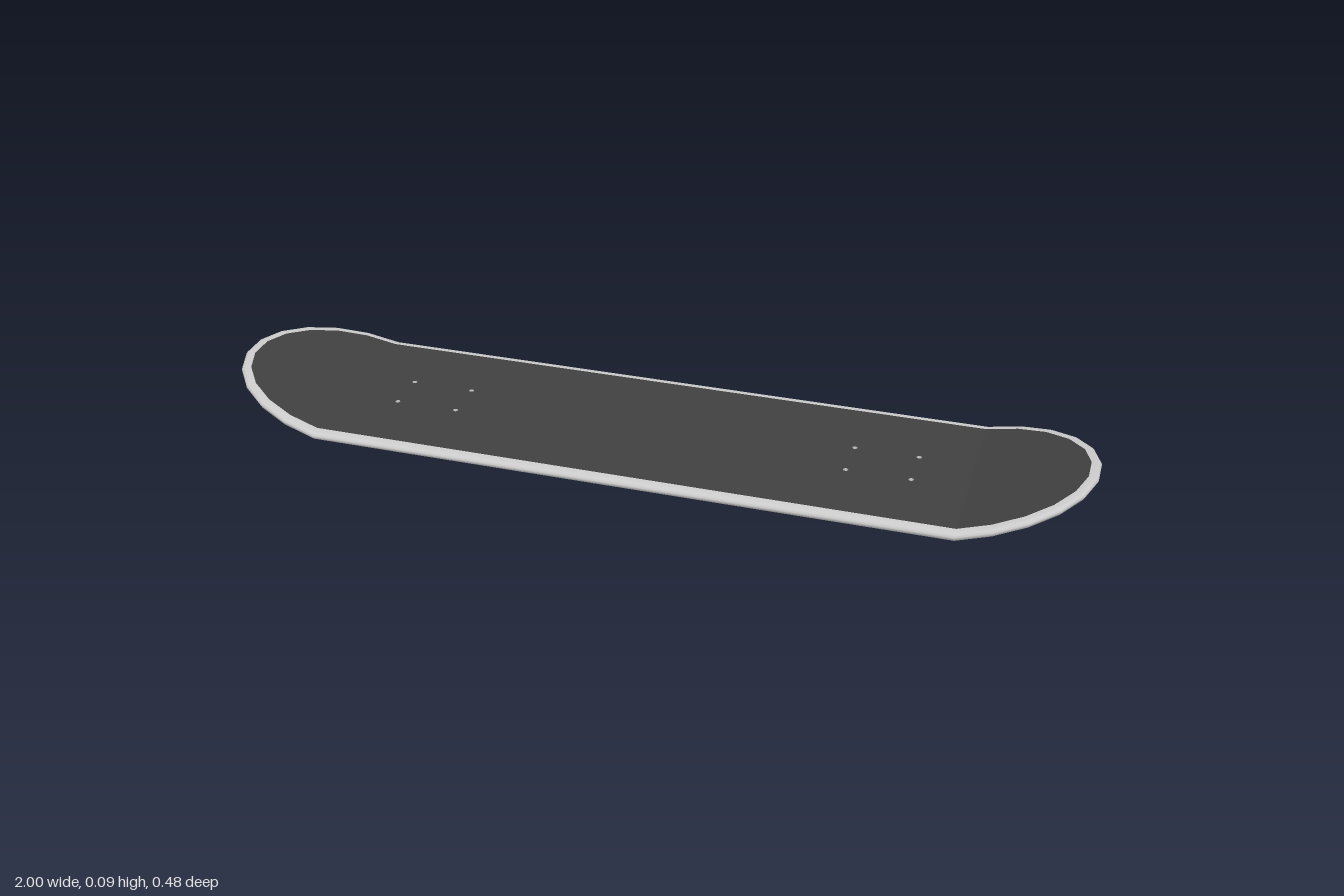
import * as THREE from 'three';

const STRAIGHT = 0.73, END = 0.271, HALF_WIDTH = 0.242, THICK = 0.021;
const SEGMENTS = 11; // facets round each end
const HOLE_RADIUS = 0.006, HOLE_SIDES = 10;

const material = (color, side = THREE.FrontSide) =>
  new THREE.MeshStandardMaterial({ color, side, roughness: 0.9 });

// The nose and tail rise in a straight slope beyond the flat middle
const lift = (x) => Math.max(0, Math.abs(x) - STRAIGHT) * 0.254;

// Points of one rounded end, inset from the edge; sign picks the end
function endPoints(sign, inset) {
  const points = [];
  for (let i = 0; i <= SEGMENTS; i++) {
    const a = -Math.PI / 2 + (Math.PI * i) / SEGMENTS;
    points.push(new THREE.Vector2(
      sign * (STRAIGHT + (END - inset) * Math.cos(a)),
      sign * (HALF_WIDTH - inset) * Math.sin(a)));
  }
  return points;
}

// Truck bolt positions: two sets of four
const bolts = [];
for (const x of [-0.605, -0.46, 0.46, 0.605])
  for (const z of [-0.05, 0.05]) bolts.push([x, z]);

// A flat middle with bolt holes and two sloping ends
function surface(name, inset, y, up, mat) {
  const group = new THREE.Group();
  group.name = name;
  const left = endPoints(1, inset), right = endPoints(-1, inset);
  const middle = new THREE.Shape([left[0], left[SEGMENTS], right[0], right[SEGMENTS]]);
  for (const [x, z] of bolts) {
    const ring = [];
    for (let i = 0; i < HOLE_SIDES; i++) {
      const a = (i / HOLE_SIDES) * Math.PI * 2;
      ring.push(new THREE.Vector2(x + HOLE_RADIUS * Math.cos(a), z + HOLE_RADIUS * Math.sin(a)));
    }
    middle.holes.push(new THREE.Path(ring));
  }
  const shapes = { Middle: middle, LeftEnd: new THREE.Shape(left), RightEnd: new THREE.Shape(right) };
  for (const [part, shape] of Object.entries(shapes)) {
    const geometry = new THREE.ShapeGeometry(shape);
    geometry.rotateX(up ? -Math.PI / 2 : Math.PI / 2);
    const pos = geometry.attributes.position;
    for (let i = 0; i < pos.count; i++) pos.setY(i, y + lift(pos.getX(i)));
    geometry.computeVertexNormals();
    const mesh = new THREE.Mesh(geometry, mat);
    mesh.name = name + part;
    group.add(mesh);
  }
  return group;
}

// Rounded rim: [inset, height] section swept round the outline
function rim(section) {
  const positions = [], index = [];
  const count = 2 * (SEGMENTS + 1), rows = section.length;
  for (const [inset, y] of section)
    for (const p of [...endPoints(1, inset), ...endPoints(-1, inset)])
      positions.push(p.x, y + lift(p.x), -p.y);
  for (let r = 0; r < rows - 1; r++)
    for (let i = 0; i < count; i++) {
      const j = (i + 1) % count;
      const a = r * count + i, b = r * count + j, c = a + count, d = b + count;
      index.push(a, b, d, a, d, c);
    }
  const geometry = new THREE.BufferGeometry();
  geometry.setAttribute('position', new THREE.Float32BufferAttribute(positions, 3));
  geometry.setIndex(index);
  geometry.computeVertexNormals();
  const mesh = new THREE.Mesh(geometry, material(0xcccccc));
  mesh.name = 'rim';
  return mesh;
}

export function createModel() {
  const model = new THREE.Group();
  model.name = 'skateboardDeck';

  // Grip on top, painted underside, bare rim between them
  model.add(surface('gripTape', 0.022, THICK, true, material(0x404040)));
  model.add(surface('underside', 0.008, 0, false, material(0x006400)));
  model.add(rim([
    [0.008, 0], [0.003, 0.003], [0, 0.008], [0, 0.012],
    [0.003, 0.017], [0.009, 0.02], [0.022, THICK],
  ]));

  // Walls of the bolt holes
  const wall = new THREE.CylinderGeometry(HOLE_RADIUS, HOLE_RADIUS, THICK, HOLE_SIDES, 1, true);
  wall.rotateY(Math.PI / 2);
  const wallMaterial = material(0xcccccc, THREE.DoubleSide);
  for (const [x, z] of bolts) {
    const hole = new THREE.Mesh(wall, wallMaterial);
    hole.name = 'boltHole';
    hole.position.set(x, THICK / 2, z);
    model.add(hole);
  }
  return model;
}
